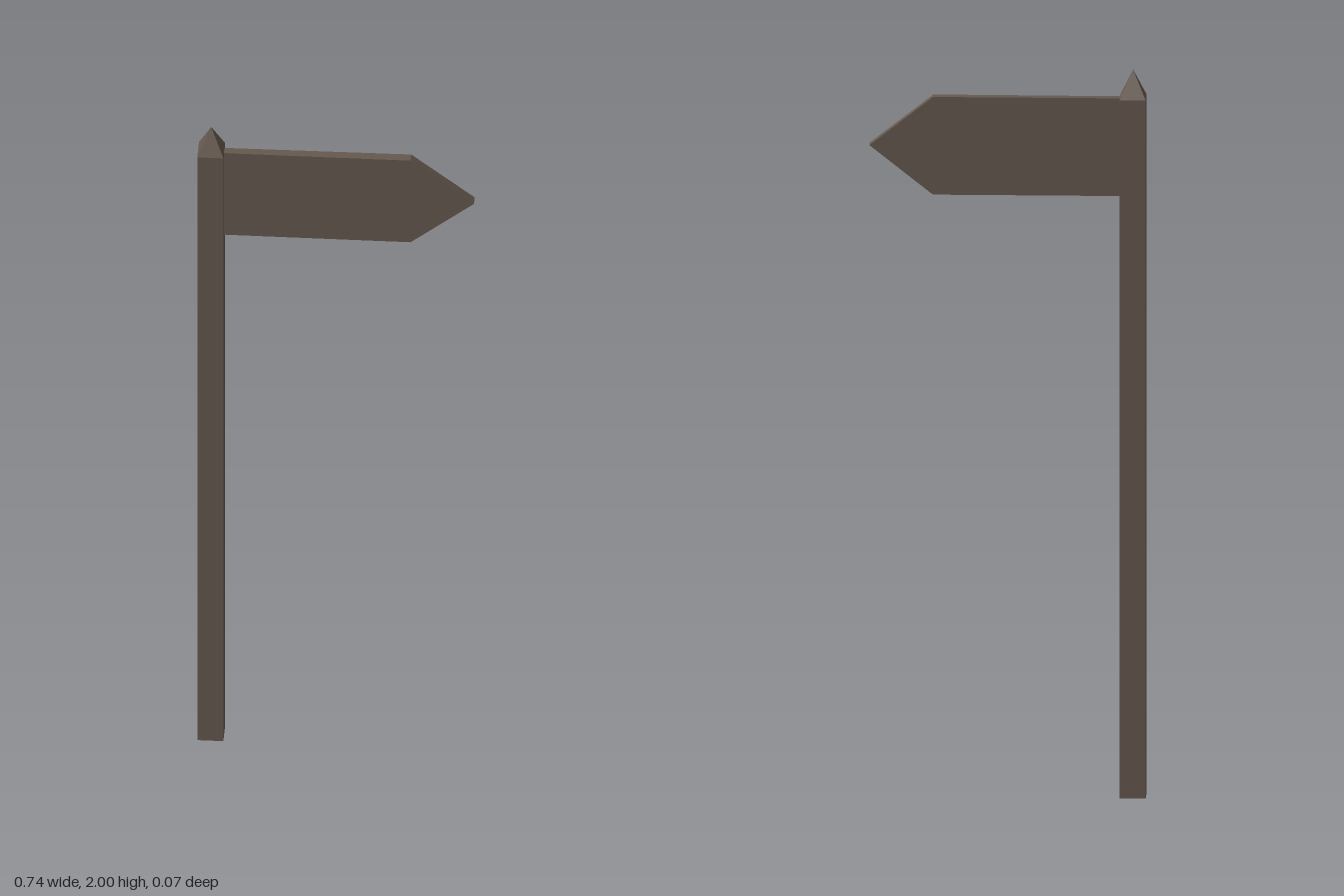
import * as THREE from 'three';

export function createModel() {
  const group = new THREE.Group();
  group.name = 'signpost';
  const wood = new THREE.MeshStandardMaterial({ color: 0x66594f, flatShading: true });
  wood.name = 'weathered wood';

  const add = (name, geometry, x, y, z) => {
    const mesh = new THREE.Mesh(geometry, wood);
    mesh.name = name;
    mesh.position.set(x, y, z);
    group.add(mesh);
  };

  const width = 0.07, postX = -0.335, postTop = 1.923;

  // Square post
  add('post', new THREE.BoxGeometry(width, postTop, width), postX, postTop / 2, 0);

  // Pyramid cap
  const capHeight = 2 - postTop;
  const cap = new THREE.ConeGeometry(width / Math.SQRT2, capHeight, 4, 1, true);
  cap.rotateY(Math.PI / 4);
  add('postCap', cap, postX, postTop + capHeight / 2, 0);

  // Arrow board, slightly thicker towards its tip
  const outline = new THREE.Shape([
    [-0.3, 1.654], [0.2, 1.654], [0.37, 1.789], [0.2, 1.923], [-0.3, 1.923],
  ].map(([x, y]) => new THREE.Vector2(x, y)));
  const board = new THREE.ExtrudeGeometry(outline, { depth: 2, bevelEnabled: false });
  board.translate(0, 0, -1);
  const p = board.attributes.position;
  for (let i = 0; i < p.count; i++) {
    const t = (p.getX(i) + 0.3) / 0.67;
    p.setZ(i, p.getZ(i) * (0.012 + 0.003 * t) - 0.0008);
  }
  board.computeVertexNormals();
  add('arrowBoard', board, 0, 0, 0);

  return group;
}
